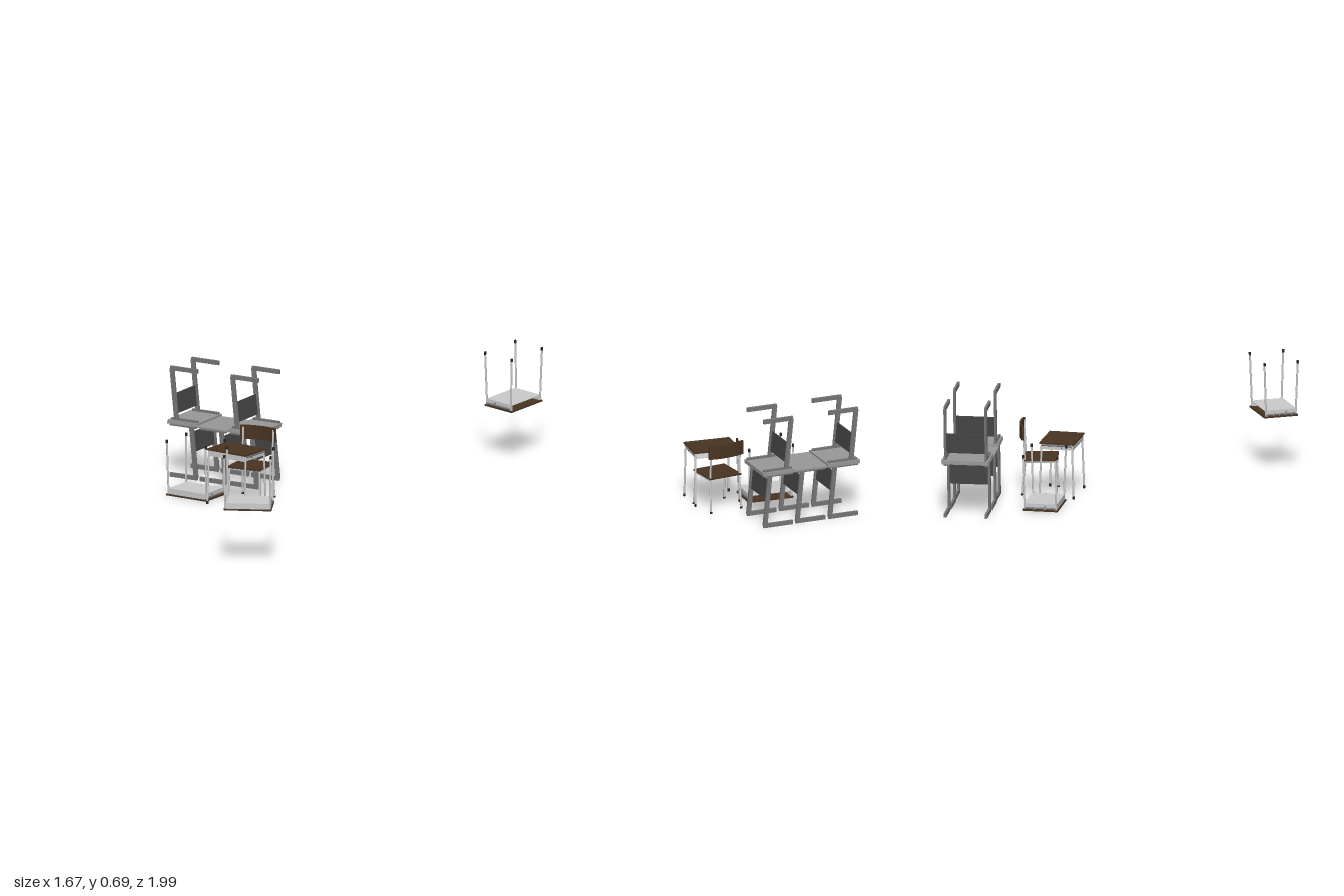
import * as THREE from 'three';

const mat = (color) => new THREE.MeshStandardMaterial({ color, side: THREE.DoubleSide });
const grey = mat(0xcccccc), laminate = mat(0x999999), frame = mat(0x777777);
const panelGrey = mat(0x484848), wood = mat(0x4a3422), rubber = mat(0x2a2320);

function box(parent, name, material, w, h, d, x, y, z) {
  const m = new THREE.Mesh(new THREE.BoxGeometry(w, h, d), material);
  m.name = name;
  m.position.set(x, y, z);
  parent.add(m);
  return m;
}

// Round tube running from point a to point b
function rod(parent, name, material, a, b, r) {
  const p = new THREE.Vector3(...a), q = new THREE.Vector3(...b);
  const dir = q.clone().sub(p);
  const m = new THREE.Mesh(new THREE.CylinderGeometry(r, r, dir.length(), 10), material);
  m.name = name;
  m.position.copy(p).add(q).multiplyScalar(0.5);
  m.quaternion.setFromUnitVectors(new THREE.Vector3(0, 1, 0), dir.normalize());
  parent.add(m);
}

// Tube leg with a dark rubber shoe at its foot
function tubeLeg(parent, name, top, foot) {
  const shoe = foot.map((v, i) => v + (top[i] - v) * 0.055);
  rod(parent, name, grey, top, shoe, 0.006);
  rod(parent, name + 'Shoe', rubber, shoe, foot, 0.0075);
}

// Wooden school desk with a book tray, open towards the sitter (-z)
function schoolDesk() {
  const g = new THREE.Group();
  box(g, 'deskTop', wood, 0.29, 0.009, 0.215, 0, 0.3405, 0);
  box(g, 'trayBottom', grey, 0.262, 0.003, 0.2, 0, 0.303, 0);
  box(g, 'trayFront', grey, 0.262, 0.036, 0.003, 0, 0.319, 0.0985);
  for (const s of [-1, 1]) {
    box(g, 'traySide', grey, 0.003, 0.036, 0.2, s * 0.1305, 0.319, 0);
    rod(g, 'sideRail', frame, [s * 0.137, 0.328, -0.096], [s * 0.137, 0.328, 0.096], 0.006);
    // bag hook
    rod(g, 'bagHook', frame, [s * 0.131, 0.316, 0.03], [s * 0.143, 0.316, 0.03], 0.004);
    for (const t of [-1, 1])
      tubeLeg(g, 'deskLeg', [s * 0.136, 0.334, t * 0.094], [s * 0.141, 0, t * 0.106]);
  }
  return g;
}

// Wooden chair with tube frame and curved backrest
function schoolChair() {
  const g = new THREE.Group();
  box(g, 'seat', wood, 0.215, 0.01, 0.21, 0, 0.217, 0);
  const geo = new THREE.BoxGeometry(0.236, 0.086, 0.012, 12, 1, 1);
  const p = geo.attributes.position;
  for (let i = 0; i < p.count; i++) {
    const u = p.getX(i) / 0.118;
    p.setZ(i, p.getZ(i) - 0.018 * (1 - u * u));
  }
  geo.computeVertexNormals();
  const back = new THREE.Mesh(geo, wood);
  back.name = 'backrest';
  back.position.set(0, 0.389, -0.106);
  g.add(back);
  for (const s of [-1, 1]) {
    const x = s * 0.1;
    tubeLeg(g, 'chairFrontLeg', [x, 0.207, 0.09], [s * 0.105, 0, 0.102]);
    tubeLeg(g, 'chairBackLeg', [x, 0.207, -0.092], [s * 0.105, 0, -0.112]);
    rod(g, 'backPost', grey, [x, 0.2, -0.092], [x, 0.42, -0.106], 0.006);
    rod(g, 'seatRail', grey, [x, 0.207, 0.09], [x, 0.207, -0.092], 0.006);
  }
  rod(g, 'seatCrossRail', grey, [-0.1, 0.207, 0.08], [0.1, 0.207, 0.08], 0.005);
  return g;
}

// Modern desk on two C-shaped legs with a modesty panel
function cantileverDesk() {
  const g = new THREE.Group();
  box(g, 'tableTop', laminate, 0.211, 0.011, 0.288, 0, 0.3395, 0);
  const tilt = Math.atan2(0.033, 0.32);
  for (const s of [-1, 1]) {
    const z = s * 0.124;
    box(g, 'floorRunner', frame, 0.192, 0.026, 0.015, 0, 0.013, z);
    box(g, 'topArm', frame, 0.185, 0.013, 0.015, -0.004, 0.3275, z);
    box(g, 'slantedLeg', frame, 0.027, 0.318, 0.015, 0.07, 0.171, z).rotation.z = tilt;
  }
  box(g, 'modestyPanel', panelGrey, 0.008, 0.124, 0.235, 0.0635, 0.234, 0).rotation.z = tilt;
  return g;
}

// Sets a piece in place; a flipped piece rests on its top at height y
function place(root, name, piece, x, y, z, turn, flipped = false) {
  const holder = new THREE.Group();
  holder.name = name;
  holder.position.set(x, y, z);
  holder.rotation.y = turn;
  if (flipped) {
    piece.rotation.z = Math.PI;
    piece.position.y = 0.345;
  }
  holder.add(piece);
  root.add(holder);
}

export function createModel() {
  const root = new THREE.Group();
  root.name = 'classroomFurniture';

  // Wooden desks: one standing, two upside down
  place(root, 'standingDesk', schoolDesk(), -0.138, 0, -0.356, -0.09);
  place(root, 'overturnedDesk', schoolDesk(), -0.46, 0, -0.418, -0.05, true);
  place(root, 'raisedOverturnedDesk', schoolDesk(), 0.656, 0.346, 0.828, 0.455, true);
  place(root, 'chair', schoolChair(), -0.115, 0, -0.487, 0.1);

  // Row of three modern desks, outer two with another stacked upside down
  [-0.73, -0.517, -0.303].forEach((x, i) => {
    place(root, 'rowDesk', cantileverDesk(), x, 0, i === 1 ? -0.848 : -0.852, 0);
    if (i !== 1) place(root, 'stackedDesk', cantileverDesk(), x + 0.001, 0.346, -0.855, 0, true);
  });
  return root;
}
